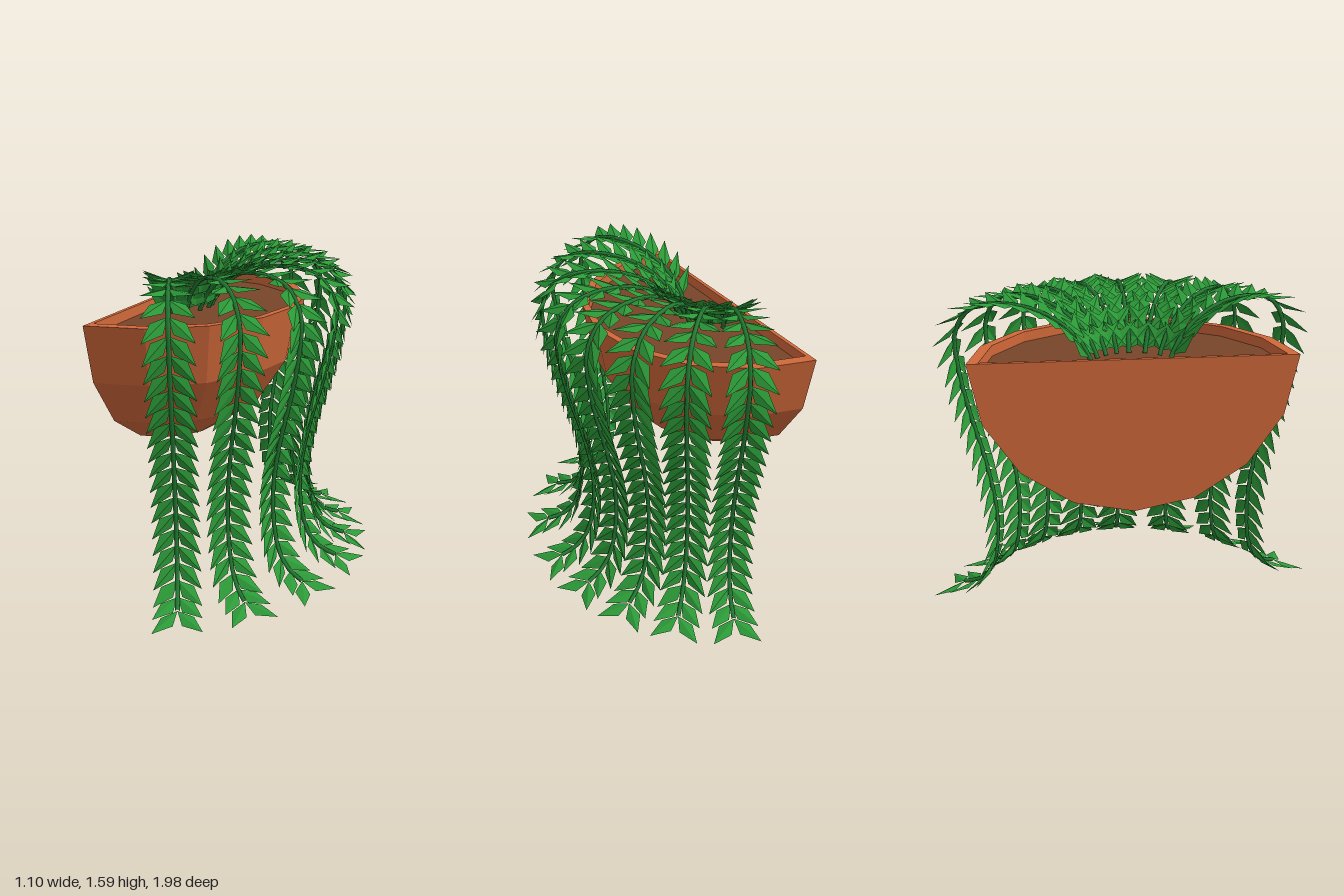
import * as THREE from 'three';
import { mergeGeometries } from 'three/addons/utils/BufferGeometryUtils.js';

const terracotta = new THREE.MeshStandardMaterial({ color: 0xd0683a, flatShading: true, side: THREE.DoubleSide });
const earth = new THREE.MeshStandardMaterial({ color: 0x784528, flatShading: true });
const stemGreen = new THREE.MeshStandardMaterial({ color: 0x237a32 });
const leafGreen = new THREE.MeshStandardMaterial({ color: 0x2c9a38, flatShading: true, side: THREE.DoubleSide });

const R = 0.745, INNER = 0.69, BACK = 0.02, RIM_Y = 1.35, SOIL_Y = 1.3;

function addMesh(parent, name, geometry, material) {
  const mesh = new THREE.Mesh(geometry, material);
  mesh.name = name;
  parent.add(mesh);
}

// Half polygon with its straight side at x = offset
function halfRound(radius, offset, PathType) {
  const points = [];
  for (let i = 0; i <= 8; i++) {
    const a = -Math.PI / 2 + (i * Math.PI) / 8;
    points.push(new THREE.Vector2(offset + radius * Math.cos(a), radius * Math.sin(a)));
  }
  return new PathType(points);
}

// Wall pot: faceted quarter sphere with a flat back, rim and soil
function makePot() {
  const pot = new THREE.Group();
  pot.name = 'pot';
  pot.position.set(-0.555, RIM_Y, 0.015);

  addMesh(pot, 'bowl', new THREE.SphereGeometry(R, 8, 4, Math.PI / 2, Math.PI, Math.PI / 2, Math.PI / 2), terracotta);
  addMesh(pot, 'backPlate', new THREE.CircleGeometry(R, 8, Math.PI, Math.PI).rotateY(-Math.PI / 2), terracotta);

  const rim = halfRound(R, 0, THREE.Shape);
  rim.holes.push(halfRound(INNER, BACK, THREE.Path));
  addMesh(pot, 'rim', new THREE.ShapeGeometry(rim).rotateX(-Math.PI / 2), terracotta);

  const depth = RIM_Y - SOIL_Y;
  addMesh(pot, 'innerWall', new THREE.CylinderGeometry(INNER, INNER, depth, 8, 1, true, 0, Math.PI)
    .translate(BACK, -depth / 2, 0), terracotta);
  addMesh(pot, 'innerBackWall', new THREE.PlaneGeometry(2 * INNER, depth).rotateY(Math.PI / 2)
    .translate(BACK, -depth / 2, 0), terracotta);
  addMesh(pot, 'soil', new THREE.ShapeGeometry(halfRound(INNER, BACK, THREE.Shape))
    .rotateX(-Math.PI / 2).translate(0, -depth, 0), earth);
  return pot;
}

// Pointed leaf along +y, folded along its midrib, facing +z
function makeLeaf(length, width) {
  const w = width / 2, fold = -0.012;
  const corners = [
    [0, 0, 0], [w, length * 0.42, fold], [0, length, 0],
    [0, 0, 0], [0, length, 0], [-w, length * 0.42, fold],
  ];
  const g = new THREE.BufferGeometry();
  g.setAttribute('position', new THREE.Float32BufferAttribute(corners.flat(), 3));
  g.computeVertexNormals();
  return g;
}

// Stem path in the plane of one vine: distance outward, height
const stemPath = new THREE.CatmullRomCurve3([
  [0.2, 1.3], [0.25, 1.385], [0.34, 1.465], [0.48, 1.525], [0.66, 1.54], [0.8, 1.5],
  [0.88, 1.38], [0.872, 1.2], [0.83, 1.0], [0.76, 0.75], [0.715, 0.5], [0.718, 0.3],
  [0.76, 0.14], [0.83, 0.065], [0.915, 0.036],
].map(([r, y]) => new THREE.Vector3(r, y, 0)));

// Leaf pairs along the stem, outer face turned away from the pot
function makeFoliage() {
  const leaf = makeLeaf(0.175, 0.076);
  const leaves = [];
  const pairs = 28, spread = 0.74;
  const side = new THREE.Vector3(0, 0, 1);
  for (let i = 0; i < pairs; i++) {
    const u = 0.01 + (0.99 * i) / (pairs - 1);
    const p = stemPath.getPointAt(u), t = stemPath.getTangentAt(u);
    const out = new THREE.Vector3(-t.y, t.x, 0);
    const lift = i === pairs - 1 ? 0 : 0.14;
    for (const s of [-1, 1]) {
      const along = t.clone().multiplyScalar(Math.cos(spread))
        .addScaledVector(side, s * Math.sin(spread))
        .addScaledVector(out, lift).normalize();
      const across = along.clone().cross(out).normalize();
      const face = across.clone().cross(along);
      const m = new THREE.Matrix4().makeBasis(across, along, face).setPosition(p);
      leaves.push(leaf.clone().applyMatrix4(m));
    }
  }
  return mergeGeometries(leaves);
}

export function createModel() {
  const model = new THREE.Group();
  model.name = 'hangingPlant';
  model.add(makePot());

  // Trailing vines fanned out around the pot
  const stem = new THREE.TubeGeometry(stemPath, 48, 0.011, 6);
  const foliage = makeFoliage();
  [63.5, 43, 21.2, 0, -16.7, -33.5, -50, -67.5].forEach((degrees) => {
    const vine = new THREE.Group();
    vine.name = 'vine';
    vine.position.set(-0.49, 0, 0.015);
    vine.rotation.y = -THREE.MathUtils.degToRad(degrees);
    addMesh(vine, 'stem', stem, stemGreen);
    addMesh(vine, 'leaves', foliage, leafGreen);
    model.add(vine);
  });
  return model;
}
